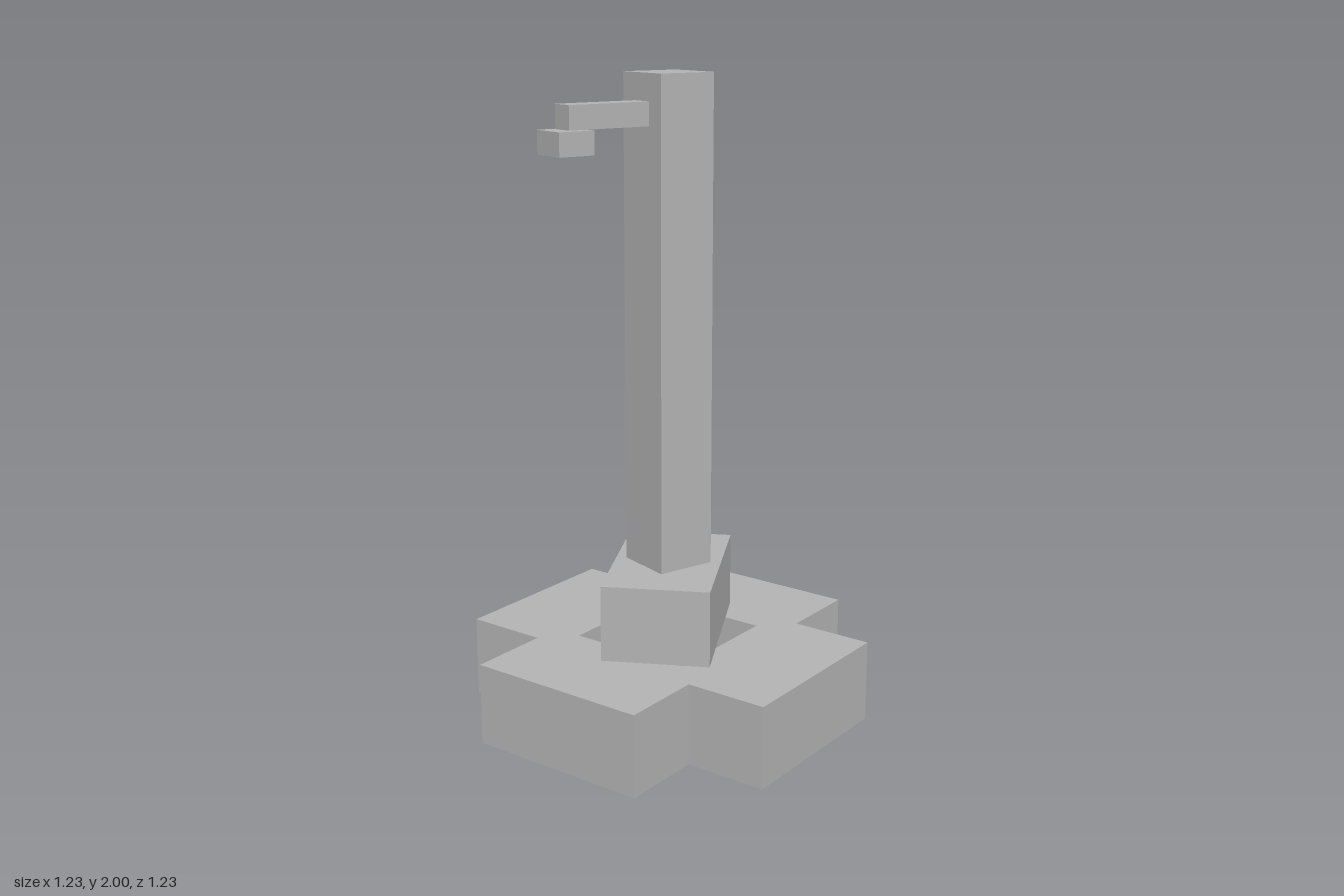
import * as THREE from 'three';

export function createModel() {
  const group = new THREE.Group();
  const grey = new THREE.MeshStandardMaterial({ color: 0xb4b4b4 });
  grey.name = 'plain grey';

  const add = (name, geometry) => {
    const mesh = new THREE.Mesh(geometry, grey);
    mesh.name = name;
    group.add(mesh);
    return mesh;
  };
  // Box given by its minimum and maximum corners
  const box = (name, [x0, y0, z0], [x1, y1, z1]) => {
    const mesh = add(name, new THREE.BoxGeometry(x1 - x0, y1 - y0, z1 - z0));
    mesh.position.set((x0 + x1) / 2, (y0 + y1) / 2, (z0 + z1) / 2);
    return mesh;
  };

  // Cross-shaped base with a square hole, turned about the post
  const arm = 0.292, reach = 0.552, hole = 0.2;
  const outline = [];
  for (let i = 0; i < 4; i++) {
    const pivot = new THREE.Vector2();
    for (const [x, y] of [[arm, -arm], [reach, -arm], [reach, arm]]) {
      outline.push(new THREE.Vector2(x, y).rotateAround(pivot, i * Math.PI / 2));
    }
  }
  const cross = new THREE.Shape(outline);
  cross.holes.push(new THREE.Path([
    new THREE.Vector2(-hole, -hole), new THREE.Vector2(-hole, hole),
    new THREE.Vector2(hole, hole), new THREE.Vector2(hole, -hole),
  ]));
  const baseGeometry = new THREE.ExtrudeGeometry(cross, { depth: 0.255, bevelEnabled: false });
  baseGeometry.rotateX(-Math.PI / 2);
  const base = add('crossBase', baseGeometry);
  base.position.y = 0.015;
  base.rotation.y = THREE.MathUtils.degToRad(17.4);

  // Oblong block lying diagonally on the base
  const block = box('plinthBlock', [-0.265, 0.27, -0.165], [0.265, 0.507, 0.165]);
  block.rotation.y = THREE.MathUtils.degToRad(45.5);

  // Tall post running from the ground through the base
  box('post', [-0.094, 0, -0.094], [0.094, 2, 0.094]);

  // Lamp arm and hanging lamp head
  box('lampArm', [-0.365, 1.85, -0.036], [-0.09, 1.92, 0.036]);
  box('lampHead', [-0.412, 1.78, -0.058], [-0.296, 1.849, 0.058]);

  return group;
}
